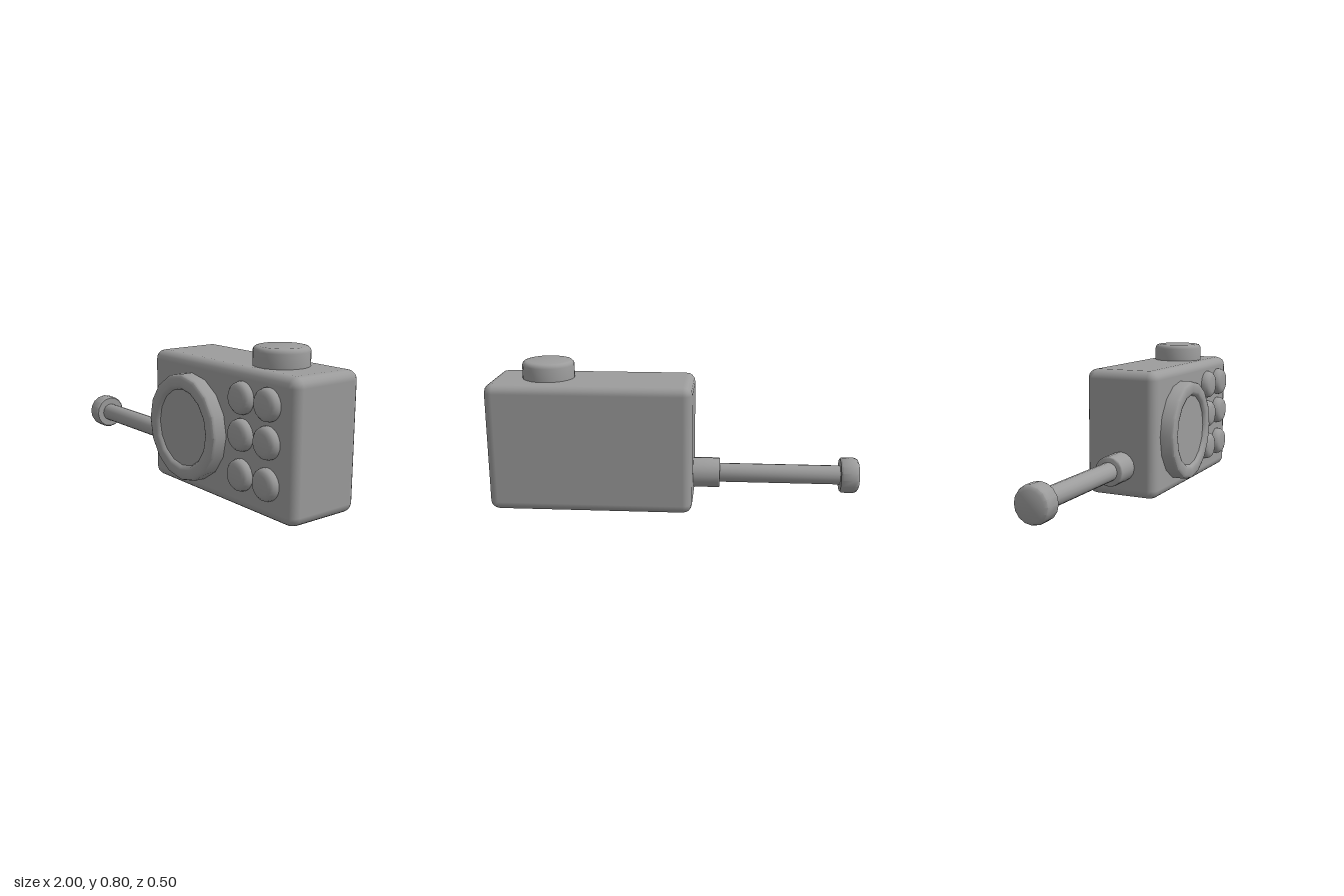
import * as THREE from 'three';
import { RoundedBoxGeometry } from 'three/addons/geometries/RoundedBoxGeometry.js';
import { toCreasedNormals } from 'three/addons/utils/BufferGeometryUtils.js';

const material = new THREE.MeshStandardMaterial({ color: 0x9c9c9c });

// Turned part standing on y = 0, from [radius, height] pairs listed bottom to top
function turned(points, sides) {
  const profile = points.map(([r, y]) => new THREE.Vector2(r, y));
  return toCreasedNormals(new THREE.LatheGeometry(profile, sides), 0.75);
}

// Solid disc with a softly rounded top rim
function knob(radius, height, bevel, sides) {
  const points = [[0, 0], [radius, 0]];
  for (let i = 0; i <= 3; i++) {
    const a = (i / 3) * Math.PI / 2;
    points.push([radius - bevel * (1 - Math.cos(a)), height - bevel * (1 - Math.sin(a))]);
  }
  points.push([0, height]);
  return turned(points, sides);
}

export function createModel() {
  const model = new THREE.Group();

  function add(name, geometry, x, y, z, parent = model) {
    const mesh = new THREE.Mesh(geometry, material);
    mesh.name = name;
    mesh.position.set(x, y, z);
    parent.add(mesh);
    return mesh;
  }

  // Case
  add('body', new RoundedBoxGeometry(1.1, 0.7, 0.42, 2, 0.05), 0.45, 0.35, -0.04);

  // Raised round rim with a shallow sunken face
  const rim = turned([
    [0.279, 0], [0.279, 0.065], [0.273, 0.077], [0.258, 0.083],
    [0.222, 0.083], [0.208, 0.078], [0.2, 0.064], [0, 0.064],
  ], 16);
  add('speakerRim', rim, 0.247, 0.341, 0.165).rotation.x = Math.PI / 2;

  // Two columns of push buttons
  const buttons = new THREE.Group();
  buttons.name = 'buttons';
  model.add(buttons);
  const buttonShape = knob(0.08, 0.055, 0.033, 24);
  for (const x of [0.646, 0.83]) {
    for (const y of [0.558, 0.378, 0.179]) {
      add('button', buttonShape, x, y, 0.16, buttons).rotation.x = Math.PI / 2;
    }
  }

  // Dial on top
  add('topDial', knob(0.14, 0.105, 0.024, 24), 0.688, 0.69, -0.035);

  // Side handle, built along +y and turned to point to -x
  const handle = new THREE.Group();
  handle.name = 'handle';
  handle.position.set(-0.09, 0.174, -0.034);
  handle.rotation.z = Math.PI / 2;
  model.add(handle);
  add('handleSocket', knob(0.082, 0.155, 0.008, 16), 0, 0, 0, handle);
  add('handleRod', toCreasedNormals(new THREE.CylinderGeometry(0.052, 0.052, 0.72, 16), 0.75), 0, 0.5, 0, handle);
  const tip = turned([
    [0, 0], [0.09, 0], [0.097, 0.008], [0.097, 0.072],
    [0.091, 0.09], [0.074, 0.1], [0, 0.1],
  ], 16);
  add('handleTip', tip, 0, 0.81, 0, handle);

  return model;
}
